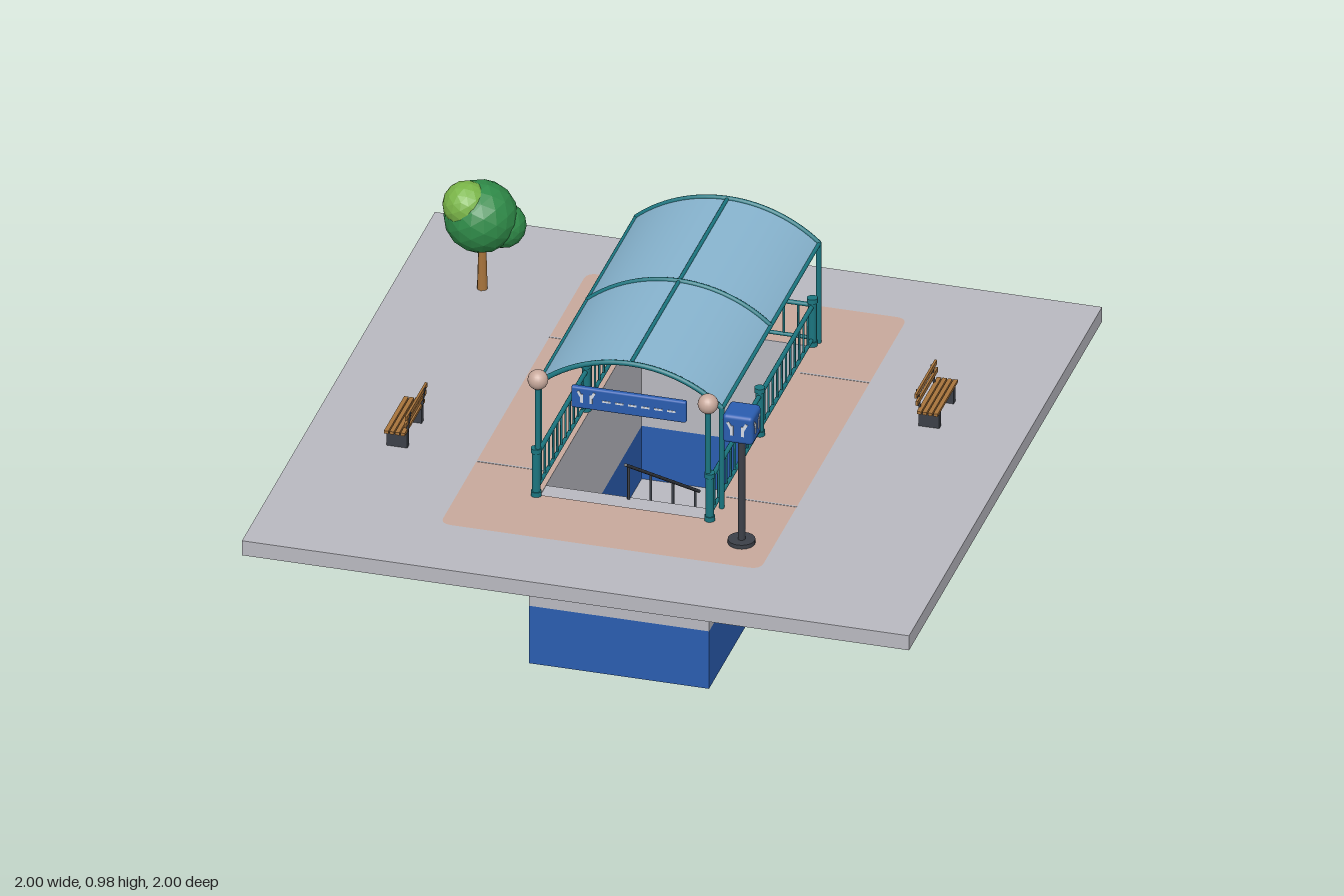
import * as THREE from 'three';
import { RoundedBoxGeometry } from 'three/addons/geometries/RoundedBoxGeometry.js';

const mat = (name, color, extra = {}) => Object.assign(new THREE.MeshStandardMaterial({ color, ...extra }), { name });
const both = { side: THREE.DoubleSide };

export function createModel() {
  const stone = mat('stone grey', 0xb9b9c0, both);
  const paving = mat('warm paving', 0xc8a99c, both);
  const glass = mat('pale blue glass', 0x88b5d0, both);
  const teal = mat('teal paint', 0x1b7680);
  const blue = mat('sign blue', 0x2a5db0);
  const pale = mat('pale marking', 0xd4dae4);
  const wood = mat('wood', 0xa8743c);
  const dark = mat('dark iron', 0x3c4048);
  const leaf = mat('leaf green', 0x2f8a48, { flatShading: true });
  const lime = mat('light leaf green', 0x7ab548, { flatShading: true });

  const model = new THREE.Group();
  model.name = 'undergroundEntrance';
  const G = 0.535; // ground level

  const group = (name, parent = model) => {
    const g = new THREE.Group();
    g.name = name;
    parent.add(g);
    return g;
  };
  const add = (name, geo, m, x = 0, y = 0, z = 0, parent = model) => {
    const mesh = new THREE.Mesh(geo, m);
    mesh.name = name;
    mesh.position.set(x, y, z);
    parent.add(mesh);
    return mesh;
  };
  const box = (name, m, x0, x1, y0, y1, z0, z1, parent) =>
    add(name, new THREE.BoxGeometry(x1 - x0, y1 - y0, z1 - z0), m,
      (x0 + x1) / 2, (y0 + y1) / 2, (z0 + z1) / 2, parent);
  const rod = (name, m, a, b, r, parent, sides = 10) => {
    const p = new THREE.Vector3(...a), q = new THREE.Vector3(...b);
    const mesh = add(name, new THREE.CylinderGeometry(r, r, p.distanceTo(q), sides), m, 0, 0, 0, parent);
    mesh.position.copy(p).lerp(q, 0.5);
    mesh.quaternion.setFromUnitVectors(new THREE.Vector3(0, 1, 0), q.sub(p).normalize());
    return mesh;
  };

  // Flat outlines, drawn with shape y = -z
  const outline = (x, z0, z1, r, C = THREE.Shape) => {
    const s = new C(), a = -z1, b = -z0;
    if (!r) return s.moveTo(-x, a).lineTo(x, a).lineTo(x, b).lineTo(-x, b).lineTo(-x, a);
    s.moveTo(-x + r, a).lineTo(x - r, a).quadraticCurveTo(x, a, x, a + r);
    s.lineTo(x, b - r).quadraticCurveTo(x, b, x - r, b);
    s.lineTo(-x + r, b).quadraticCurveTo(-x, b, -x, b - r);
    return s.lineTo(-x, a + r).quadraticCurveTo(-x, a, -x + r, a);
  };
  const sheet = (name, m, shape, hole, y, parent) => {
    if (hole) shape.holes.push(hole);
    return add(name, new THREE.ShapeGeometry(shape, 6).rotateX(-Math.PI / 2), m, 0, y, 0, parent);
  };
  // Upright band around an outline
  const band = (name, m, path, y0, y1, parent) => {
    const pts = path.getPoints(6), v = [];
    for (let i = 0; i < pts.length - 1; i++) {
      const p = pts[i], q = pts[i + 1];
      v.push(p.x, y0, -p.y, q.x, y0, -q.y, q.x, y1, -q.y, p.x, y0, -p.y, q.x, y1, -q.y, p.x, y1, -p.y);
    }
    const geo = new THREE.BufferGeometry().setAttribute('position', new THREE.Float32BufferAttribute(v, 3));
    geo.computeVertexNormals();
    return add(name, geo, m, 0, 0, 0, parent);
  };

  // Plaza slab, open underneath, with inset paving around the stairwell
  const plaza = group('plaza');
  const inset = C => outline(0.48, -0.78, 0.745, 0.035, C);
  sheet('plazaTop', stone, outline(1, -1, 1), inset(THREE.Path), G, plaza);
  band('plazaEdge', stone, outline(1, -1, 1), 0.487, G, plaza);
  band('pavingEdge', stone, inset(), 0.487, G, plaza);
  sheet('paving', paving, inset(), outline(0.25, -0.55, 0.505, 0, THREE.Path), G, plaza);
  for (const z of [-0.39, 0.365]) for (const s of [-1, 1])
    box('pavingJoint', stone, s < 0 ? -0.48 : 0.27, s < 0 ? -0.27 : 0.48, G - 0.002, G + 0.001, z - 0.003, z + 0.003, plaza);

  // Stairwell walls and floor
  const well = group('stairwell');
  for (const [name, m, y0, y1] of [['lowerWall', blue, 0, 0.19], ['upperWall', stone, 0.19, G - 0.002]]) {
    for (const s of [-1, 1]) box(name, m, s * 0.26 - 0.01, s * 0.26 + 0.01, y0, y1, -0.57, 0.55, well);
    box(name, m, -0.25, 0.25, y0, y1, -0.57, -0.55, well);
    box(name, m, -0.25, 0.25, y0, y1, 0.505, 0.55, well);
  }
  box('wellFloor', stone, -0.25, 0.25, 0.002, 0.015, -0.55, 0.52, well);
  box('wellBase', stone, -0.25, 0.25, -0.0005, 0.002, -0.55, 0.535, well);

  // Stairs descending towards the back, with a central handrail
  const steps = 12, run = 0.066, rise = 0.043;
  for (let i = 0; i < steps; i++) {
    const z = 0.505 - i * run;
    box('step', stone, -0.25, 0.25, 0.01, G - 0.004 - i * rise, z - run, z, well);
  }
  rod('handrail', dark, [0, 0.66, 0.48], [0, 0.16, -0.28], 0.005, well);
  for (let i = 0; i < 4; i++) {
    const z = 0.45 - i * 0.23, y = 0.66 - (0.48 - z) * 0.658;
    rod('handrailPost', dark, [0, y - 0.14, z], [0, y, z], 0.004, well);
  }

  // Railings on both sides and across the back
  const railing = group('railing');
  const fence = (a, b, n) => {
    const at = (t, y) => [a[0] + (b[0] - a[0]) * t, y, a[1] + (b[1] - a[1]) * t];
    rod('topRail', teal, at(0, 0.665), at(1, 0.665), 0.007, railing);
    rod('bottomRail', teal, at(0, 0.556), at(1, 0.556), 0.006, railing);
    for (let i = 1; i < n; i++) rod('baluster', teal, at(i / n, 0.556), at(i / n, 0.665), 0.0035, railing, 6);
  };
  for (const s of [-1, 1]) {
    const x = s * 0.26;
    fence([x, 0.505], [x, -0.01], 12);
    fence([x, -0.01], [x, -0.555], 12);
    for (const z of [0.508, -0.01, -0.555]) {
      rod('railPost', teal, [x, G, z], [x, 0.68, z], 0.0125, railing, 12);
      rod('railPostCap', teal, [x, 0.677, z], [x, 0.692, z], 0.016, railing, 12);
      rod('railPostFoot', teal, [x, G, z], [x, G + 0.015, z], 0.016, railing, 12);
    }
  }
  fence([-0.26, -0.56], [0.26, -0.56], 12);

  // Globe lamps at the front corners
  for (const s of [-1, 1]) {
    const lamp = group('globeLamp');
    rod('lampPost', teal, [s * 0.255, 0.68, 0.508], [s * 0.255, 0.9, 0.508], 0.009, lamp);
    add('lampGlobe', new THREE.SphereGeometry(0.03, 20, 14), paving, s * 0.255, 0.918, 0.508, lamp);
  }

  // Arched canopy
  const canopy = group('canopy');
  const R = 0.4126, a = Math.asin(0.275 / R), cy = 0.968 - R, front = 0.43, back = -0.575;
  add('canopyGlass', new THREE.CylinderGeometry(R, R, front - back, 28, 1, true, -a, 2 * a).rotateX(-Math.PI / 2),
    glass, 0, cy, (front + back) / 2, canopy);
  for (const z of [front, -0.073, back])
    add('canopyHoop', new THREE.TorusGeometry(R, 0.008, 8, 28, 2 * a).rotateZ(Math.PI / 2 - a), teal, 0, cy, z, canopy);
  for (const [x, y] of [[-0.275, 0.863], [0, 0.968], [0.275, 0.863]])
    rod('canopyBeam', teal, [x, y, back], [x, y, front], 0.006, canopy);
  for (const s of [-1, 1]) for (const z of [front, back])
    rod('canopyPost', teal, [s * 0.273, G, z], [s * 0.273, 0.866, z], 0.008, canopy);

  // Simple pictogram: two standing figures made of plain bars
  const figures = (parent, x, y, z, k) => {
    for (const s of [-1, 1]) {
      const leg = box('figureBody', pale, -0.004 * k, 0.004 * k, -0.014 * k, 0.014 * k, -0.001, 0.001, parent);
      leg.position.set(x + s * 0.014 * k, y, z);
      const arm = box('figureArm', pale, -0.004 * k, 0.004 * k, -0.01 * k, 0.01 * k, -0.001, 0.001, parent);
      arm.position.set(x + s * 0.02 * k, y + 0.014 * k, z);
      arm.rotation.z = -s * 0.5;
    }
  };

  // Entrance sign board
  const board = group('entranceSign');
  add('signBoard', new RoundedBoxGeometry(0.345, 0.07, 0.018, 2, 0.006), blue, -0.002, 0.84, 0.437, board);
  figures(board, -0.128, 0.84, 0.4465, 1);
  for (let i = 0; i < 6; i++)
    box('signDash', pale, -0.08 + i * 0.039, -0.055 + i * 0.039, 0.836, 0.842, 0.4455, 0.4475, board);

  // Free-standing cube sign
  const totem = group('cubeSign');
  totem.position.set(0.385, 0, 0.61);
  rod('signBase', dark, [0, G, 0], [0, G + 0.013, 0], 0.04, totem, 20);
  rod('signPole', dark, [0, G, 0], [0, 0.89, 0], 0.011, totem, 12);
  add('signCube', new RoundedBoxGeometry(0.092, 0.092, 0.092, 3, 0.012), blue, 0, 0.93, 0, totem);
  for (let i = 0; i < 4; i++) {
    const face = group('signFace', totem);
    face.rotation.y = i * Math.PI / 2;
    figures(face, 0, 0.928, 0.0465, 1.15);
  }

  // Benches, backrest on the -x... side of the seat once turned
  const bench = (x, z, dir) => {
    const b = group('bench');
    b.position.set(x, 0, z);
    b.rotation.y = dir < 0 ? Math.PI : 0;
    for (const s of [-1, 1]) {
      const c = s * 0.075;
      box('benchLeg', dark, -0.03, 0.032, G, 0.587, c - 0.008, c + 0.008, b);
      rod('benchBackPost', dark, [-0.027, 0.58, c], [-0.036, 0.65, c], 0.004, b, 6);
    }
    for (let i = 0; i < 4; i++)
      box('seatSlat', wood, -0.029 + i * 0.0165, -0.016 + i * 0.0165, 0.586, 0.595, -0.105, 0.105, b);
    for (let i = 0; i < 2; i++)
      box('backSlat', wood, -0.033 - i * 0.003, -0.026 - i * 0.003, 0.613 + i * 0.024, 0.627 + i * 0.024, -0.105, 0.105, b);
  };
  bench(0.715, -0.27, 1);
  bench(-0.723, 0.265, -1);

  // Tree
  const tree = group('tree');
  add('trunk', new THREE.CylinderGeometry(0.011, 0.016, 0.17, 8), wood, -0.745, G + 0.085, -0.61, tree);
  const crown = (m, r, x, y, z) => add('foliage', new THREE.IcosahedronGeometry(r, 2), m, x, y, z, tree);
  crown(leaf, 0.108, -0.75, 0.772, -0.612);
  crown(leaf, 0.068, -0.69, 0.74, -0.635);
  crown(lime, 0.07, -0.785, 0.82, -0.585);
  return model;
}
